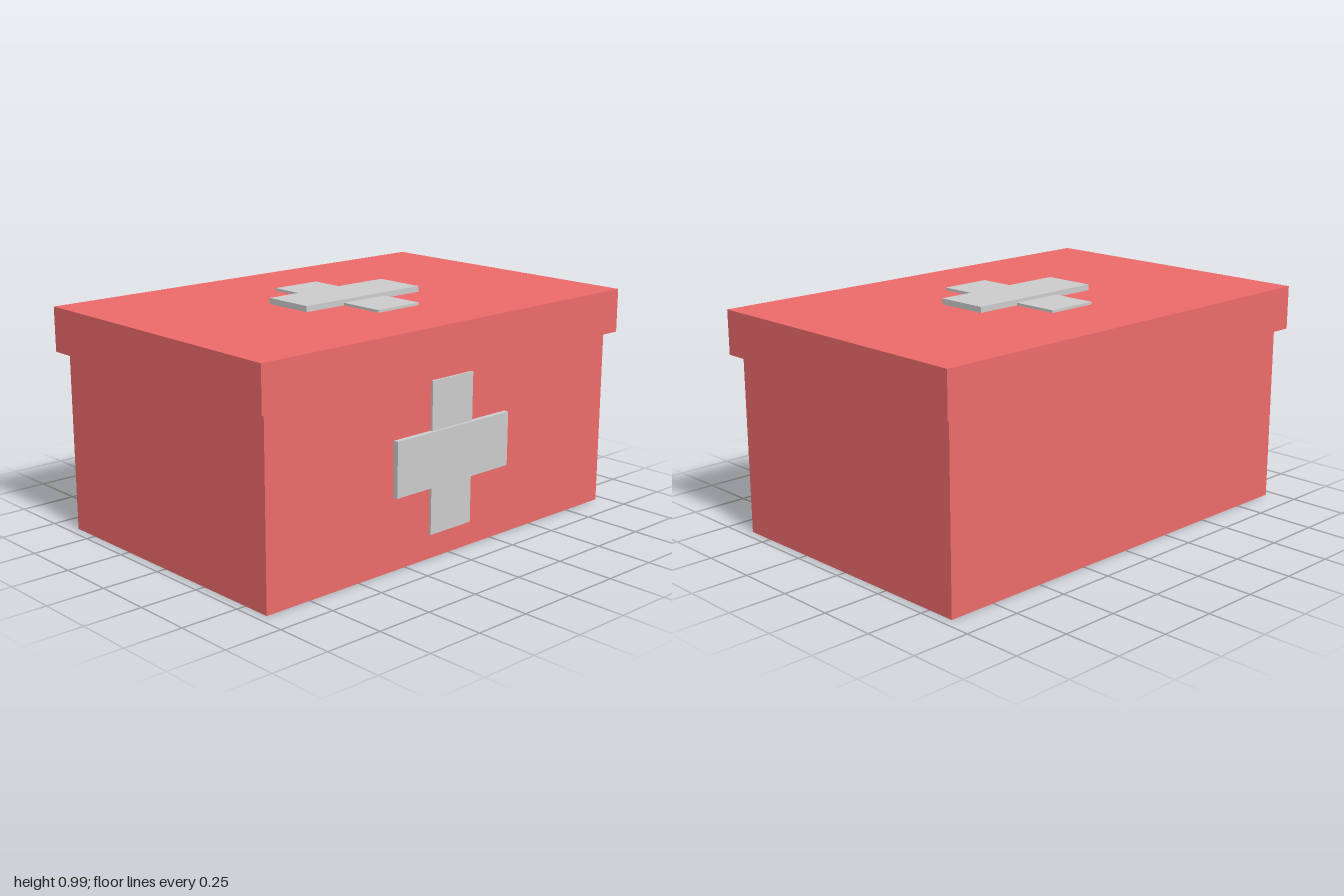
import * as THREE from 'three';

export function createModel() {
  const group = new THREE.Group();
  group.name = 'firstAidBox';
  const red = new THREE.MeshStandardMaterial({ color: 0xed6b6b });
  const grey = new THREE.MeshStandardMaterial({ color: 0xcccccc });

  // Box given by its lower and upper corners
  function box(name, material, [x0, y0, z0], [x1, y1, z1]) {
    const mesh = new THREE.Mesh(new THREE.BoxGeometry(x1 - x0, y1 - y0, z1 - z0), material);
    mesh.position.set((x0 + x1) / 2, (y0 + y1) / 2, (z0 + z1) / 2);
    mesh.name = name;
    return mesh;
  }

  // Cross of a thin upright bar under a thicker crossbar, facing +z
  function cross(name) {
    const g = new THREE.Group();
    g.name = name;
    g.add(
      box('uprightBar', grey, [-0.115, -0.318, -0.01], [0.115, 0.318, 0.01]),
      box('crossBar', grey, [-0.318, -0.115, -0.01], [0.318, 0.115, 0.024]),
    );
    return g;
  }

  // Container and overhanging lid
  group.add(
    box('body', red, [-0.96, 0, -0.624], [0.96, 0.772, 0.624]),
    box('lid', red, [-1, 0.772, -0.662], [1, 0.961, 0.662]),
  );

  // Crosses on the front and on the lid
  const frontCross = cross('frontCross');
  frontCross.position.set(0, 0.421, 0.623);
  const lidCross = cross('lidCross');
  lidCross.rotation.x = -Math.PI / 2;
  lidCross.position.set(0, 0.962, 0.007);
  group.add(frontCross, lidCross);

  return group;
}
